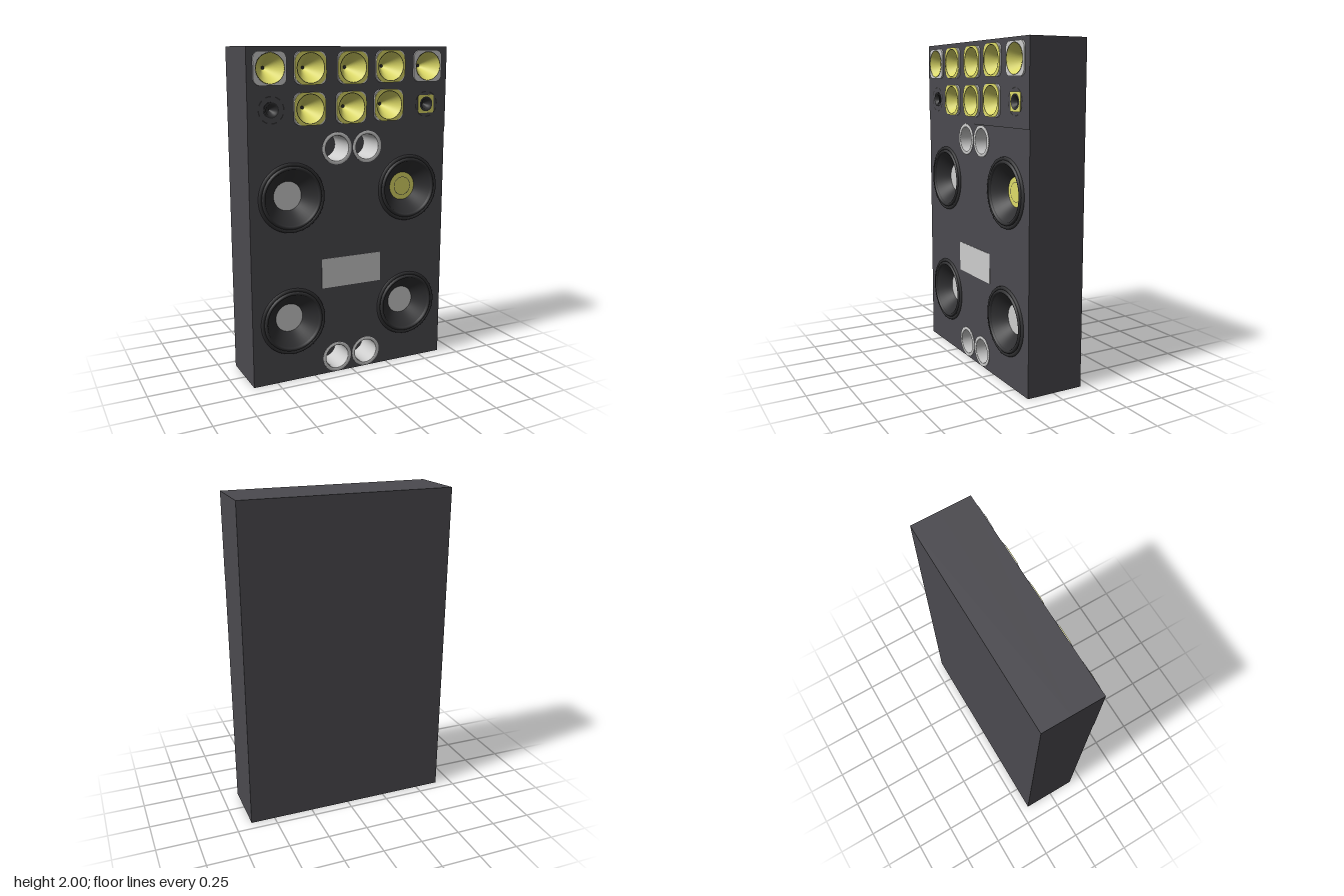
import * as THREE from 'three';

const material = (name, color, side = THREE.FrontSide) => {
  const m = new THREE.MeshStandardMaterial({ color, side });
  m.name = name;
  return m;
};

export function createModel() {
  const D = THREE.DoubleSide;
  const charcoal = material('charcoal cabinet', 0x4b4a4f);
  const rubber = material('black rubber', 0x303032, D);
  const grey = material('light grey', 0xcdcdcd, D);
  const yellow = material('yellow', 0xdedb68, D);

  const BACK = -0.19, FLOOR = -0.02, LOWER = 0.169, UPPER = 0.173, SEAM = 1.51;
  const model = new THREE.Group();
  model.name = 'speakerCabinet';

  const add = (parent, name, geometry, mat, x = 0, y = 0, z = 0) => {
    const mesh = new THREE.Mesh(geometry, mat);
    mesh.name = name;
    mesh.position.set(x, y, z);
    parent.add(mesh);
    return mesh;
  };
  const group = (name, x, y, z) => {
    const g = new THREE.Group();
    g.name = name;
    g.position.set(x, y, z);
    model.add(g);
    return g;
  };
  // Profile points are [radius, height along +z]
  const lathe = (points) => new THREE.LatheGeometry(
    points.map(([r, z]) => new THREE.Vector2(r, z)), 48).rotateX(Math.PI / 2);
  const circlePath = (x, y, r) => new THREE.Path().absarc(x, y, r, 0, Math.PI * 2, true);
  const extrude = (shape, depth) => new THREE.ExtrudeGeometry(shape,
    { depth, bevelEnabled: false, curveSegments: 24 });
  const roundedRect = (w, h, r) => {
    const s = new THREE.Shape();
    s.absarc(w - r, h - r, r, 0, Math.PI / 2);
    s.absarc(-w + r, h - r, r, Math.PI / 2, Math.PI);
    s.absarc(-w + r, -h + r, r, Math.PI, Math.PI * 1.5);
    s.absarc(w - r, -h + r, r, Math.PI * 1.5, Math.PI * 2);
    s.closePath();
    return s;
  };

  const woofers = [[-0.39, 1.138], [0.39, 1.138], [-0.39, 0.38], [0.39, 0.38]];
  const ports = [[-0.1, 1.413], [0.1, 1.413], [-0.1, 0.1], [0.1, 0.1]];
  const horns = [
    [-0.515, 1.88], [-0.27, 1.88], [0, 1.88], [0.25, 1.885], [0.51, 1.885],
    [-0.275, 1.65], [-0.01, 1.65], [0.242, 1.657],
  ];
  const tweeters = [[-0.51, 1.65], [0.507, 1.655]];

  // Cabinet: solid back and two front baffles with driver openings
  add(model, 'cabinetBack', new THREE.BoxGeometry(1.3, 2, FLOOR - BACK), charcoal,
    0, 1, (FLOOR + BACK) / 2);
  const baffle = (name, y0, y1, front, holes) => {
    const s = new THREE.Shape([[-0.65, y0], [0.65, y0], [0.65, y1], [-0.65, y1]]
      .map(([x, y]) => new THREE.Vector2(x, y)));
    holes.forEach(([x, y, r]) => s.holes.push(circlePath(x, y, r)));
    add(model, name, extrude(s, front - FLOOR), charcoal, 0, 0, FLOOR);
  };
  baffle('lowerBaffle', 0, SEAM, LOWER, [
    ...woofers.map(([x, y]) => [x, y, 0.185]),
    ...ports.map(([x, y]) => [x, y, 0.085]),
  ]);
  baffle('upperBaffle', SEAM, 2, UPPER, [
    ...horns.map(([x, y]) => [x, y, 0.085]),
    ...tweeters.map(([x, y]) => [x, y, 0.045]),
  ]);

  // Woofers: rim, rolled surround, recessed cone and flat dust cap
  const rimGeo = lathe([[0.208, 0], [0.205, 0.009], [0.193, 0.011], [0.188, 0.006]]);
  const surroundGeo = lathe([[0.188, 0.006], [0.184, 0.014], [0.177, 0.018],
    [0.169, 0.014], [0.165, 0.004]]);
  const coneGeo = lathe([[0.165, 0.004], [0.128, -0.03], [0.086, -0.072]]);
  const capGeo = new THREE.CircleGeometry(0.09, 32);
  woofers.forEach(([x, y], i) => {
    const g = group('woofer', x, y, LOWER);
    add(g, 'wooferRim', rimGeo, rubber);
    add(g, 'wooferSurround', surroundGeo, rubber);
    add(g, 'wooferCone', coneGeo, rubber);
    add(g, 'dustCap', capGeo, i === 1 ? yellow : grey, 0, 0, -0.07);
    if (i === 1) {
      add(g, 'capRing', new THREE.RingGeometry(0.056, 0.059, 32), rubber, 0, 0, -0.067);
    }
  });

  // Bass ports: lipped open tubes
  const portGeo = lathe([[0.095, 0], [0.095, 0.006], [0.077, 0.006], [0.075, 0.002],
    [0.075, FLOOR - LOWER + 0.003]]);
  ports.forEach(([x, y]) => add(model, 'bassPort', portGeo, grey, x, y, LOWER));

  // Horns: grey flange, optional yellow face, conical throat
  const hornPlate = (corner, depth) => {
    const s = roundedRect(0.098, 0.094, corner);
    s.holes.push(circlePath(0, 0, 0.085));
    return extrude(s, depth);
  };
  const flangeGeo = hornPlate(0.04, 0.01);
  const faceGeo = hornPlate(0.065, 0.003);
  const throatGeo = lathe([[0.087, 0.013], [0.01, -0.11], [0.008, -0.13]]);
  const mouthGeo = new THREE.RingGeometry(0.0845, 0.0865, 48);
  const plugGeo = new THREE.CircleGeometry(0.01, 16);
  horns.forEach(([x, y], i) => {
    const g = group('horn', x, y, UPPER);
    add(g, 'hornFlange', flangeGeo, grey);
    if (i !== 0 && i !== 4) add(g, 'hornFace', faceGeo, yellow, 0, 0, 0.01);
    add(g, 'hornThroat', throatGeo, yellow);
    add(g, 'hornMouthLine', mouthGeo, rubber, 0, 0, 0.0138);
    add(g, 'hornThroatPlug', plugGeo, rubber, 0, 0, -0.108);
  });

  // Tweeters: small dark cone with a broken ring around it
  const tweeterGeo = lathe([[0.045, 0.005], [0.032, 0.006], [0.024, -0.012], [0, -0.04]]);
  const frameShape = roundedRect(0.055, 0.055, 0.012);
  frameShape.holes.push(circlePath(0, 0, 0.042));
  const frameGeo = extrude(frameShape, 0.004);
  tweeters.forEach(([x, y], i) => {
    const g = group('tweeter', x, y, UPPER);
    add(g, 'tweeterCone', tweeterGeo, rubber);
    for (let k = 0; k < 8; k++) {
      add(g, 'tweeterRingArc', new THREE.RingGeometry(0.072, 0.08, 6, 1,
        k * Math.PI / 4, 0.45), rubber, 0, 0, 0.003);
    }
    if (i === 1) add(g, 'tweeterFrame', frameGeo, yellow);
  });

  // Blank badge plate between the woofers
  add(model, 'badgePlate', new THREE.BoxGeometry(0.4, 0.185, 0.004), grey, 0, 0.652, LOWER);

  return model;
}
